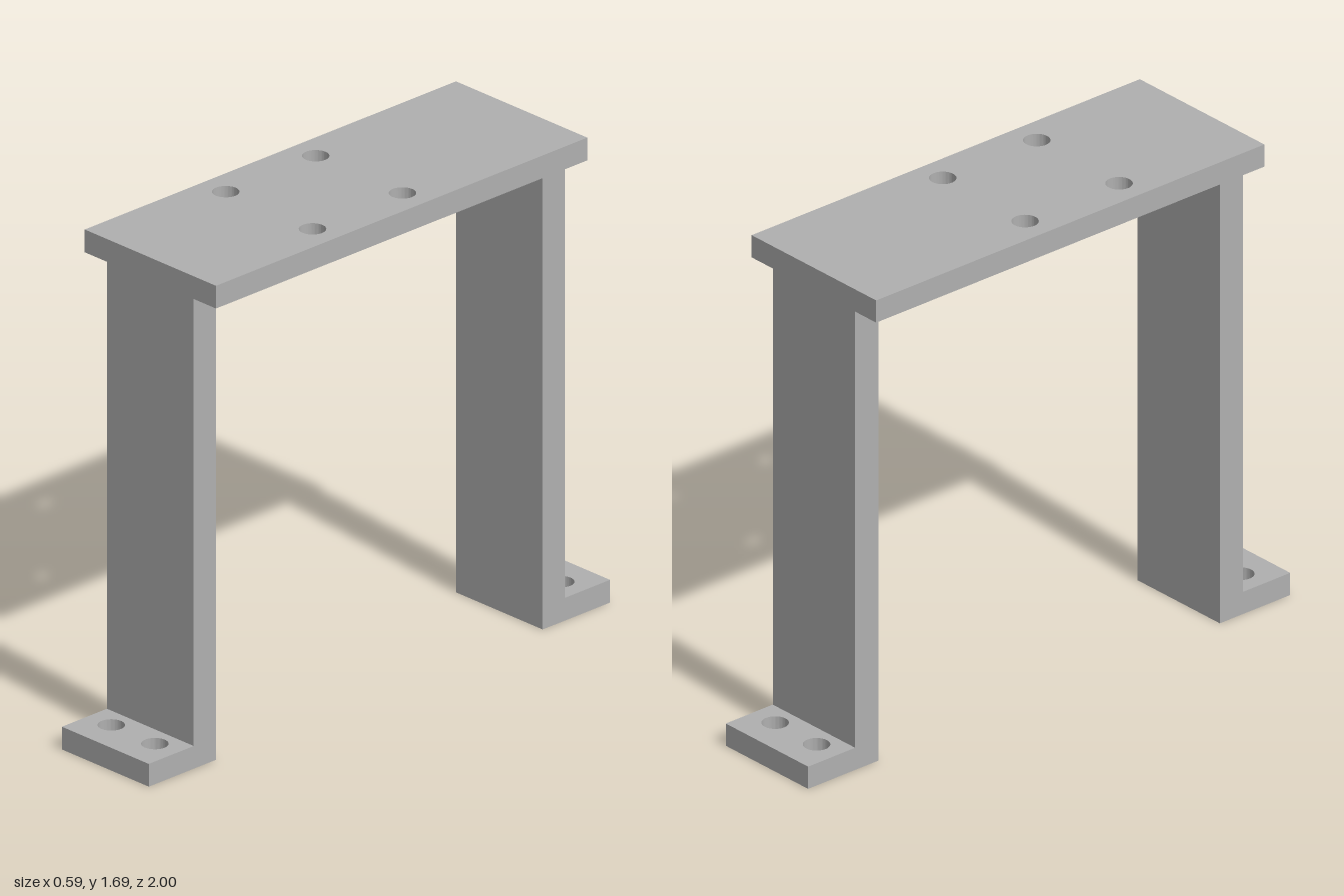
import * as THREE from 'three';
import { toCreasedNormals } from 'three/addons/utils/BufferGeometryUtils.js';

const HOLE_RADIUS = 0.043;
const THICKNESS = 0.078;
const TOP = 1.688;

// Horizontal plate spanning z0..z1, drilled through at the [x, z] points
function drilledPlate(halfWidth, z0, z1, holes) {
  const shape = new THREE.Shape();
  shape.moveTo(-halfWidth, -z1);
  shape.lineTo(halfWidth, -z1);
  shape.lineTo(halfWidth, -z0);
  shape.lineTo(-halfWidth, -z0);
  shape.closePath();
  for (const [x, z] of holes) {
    shape.holes.push(new THREE.Path().absarc(x, -z, HOLE_RADIUS, 0, Math.PI * 2, true));
  }
  const geometry = new THREE.ExtrudeGeometry(shape, {
    depth: THICKNESS, bevelEnabled: false, curveSegments: 32,
  });
  geometry.rotateX(-Math.PI / 2);
  return toCreasedNormals(geometry, Math.PI / 6);
}

export function createModel() {
  const model = new THREE.Group();
  model.name = 'mountingBracket';
  const grey = new THREE.MeshStandardMaterial({ color: 0xb0b0b0 });
  grey.name = 'grey metal';

  const add = (parent, name, geometry) => {
    const mesh = new THREE.Mesh(geometry, grey);
    mesh.name = name;
    parent.add(mesh);
    return mesh;
  };

  // Top plate with four holes set toward the front
  const plate = drilledPlate(0.295, -0.805, 0.805,
    [[-0.195, -0.1], [0.195, -0.1], [-0.195, 0.29], [0.195, 0.29]]);
  add(model, 'topPlate', plate).position.y = TOP - THICKNESS;

  // Upright and drilled foot, turned around for the back
  const legHeight = TOP - THICKNESS;
  const legGeometry = new THREE.BoxGeometry(0.39, legHeight, 0.097);
  legGeometry.translate(0, legHeight / 2, 0.7565);
  const footGeometry = drilledPlate(0.195, 0.805, 1, [[-0.098, 0.88], [0.098, 0.88]]);
  for (const side of ['front', 'back']) {
    const support = new THREE.Group();
    support.name = side + 'Support';
    add(support, side + 'Leg', legGeometry);
    add(support, side + 'Foot', footGeometry);
    if (side === 'back') support.rotation.y = Math.PI;
    model.add(support);
  }
  return model;
}
